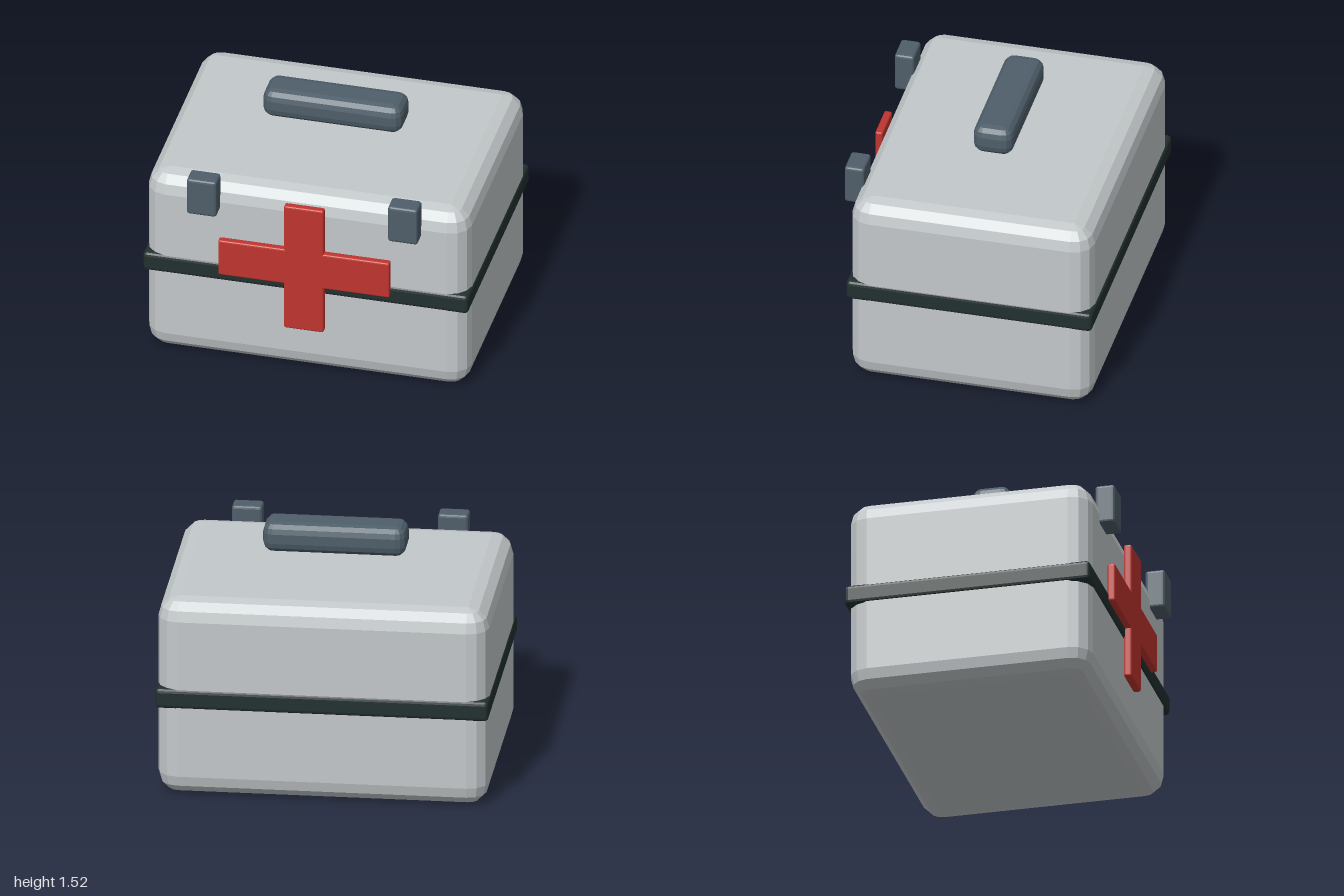
import * as THREE from 'three';
import { ConvexGeometry } from 'three/addons/geometries/ConvexGeometry.js';

const STEPS = 3; // facets around each rounded edge

// Box between two corners with faceted round edges: the hull of eight sphere octants
function bevelBox([x0, y0, z0], [x1, y1, z1], r) {
  const centre = new THREE.Vector3((x0 + x1) / 2, (y0 + y1) / 2, (z0 + z1) / 2);
  const inner = new THREE.Vector3((x1 - x0) / 2 - r, (y1 - y0) / 2 - r, (z1 - z0) / 2 - r);
  const points = [];
  for (const sx of [-1, 1]) for (const sy of [-1, 1]) for (const sz of [-1, 1]) {
    for (let i = 0; i <= STEPS; i++) {
      const lat = (i / STEPS) * Math.PI / 2;
      const around = i === STEPS ? 0 : STEPS; // a single point at the pole
      for (let j = 0; j <= around; j++) {
        const lon = (j / STEPS) * Math.PI / 2;
        points.push(new THREE.Vector3(
          sx * (inner.x + r * Math.cos(lat) * Math.cos(lon)),
          sy * (inner.y + r * Math.sin(lat)),
          sz * (inner.z + r * Math.cos(lat) * Math.sin(lon))
        ));
      }
    }
  }
  const geometry = new ConvexGeometry(points);
  geometry.translate(centre.x, centre.y, centre.z);
  return geometry;
}

function flat(name, color) {
  const material = new THREE.MeshStandardMaterial({ color, flatShading: true });
  material.name = name;
  return material;
}

export function createModel() {
  const model = new THREE.Group();
  model.name = 'firstAidCase';

  const shell = flat('lightGrey', 0xc3c8ca);
  const slate = flat('slate', 0x4f5f6a);
  const rubber = flat('darkRubber', 0x22302f);
  const red = flat('red', 0xc0352f);

  const add = (name, material, min, max, r, parent = model) => {
    const mesh = new THREE.Mesh(bevelBox(min, max, r), material);
    mesh.name = name;
    parent.add(mesh);
  };

  // Case and the seal around its middle
  add('caseBody', shell, [-0.993, 0, -0.785], [0.993, 1.24, 0.704], 0.127);
  add('sealBand', rubber, [-1, 0.56, -0.795], [1, 0.685, 0.714], 0.025);

  // Carry handle above the lid
  add('handle', slate, [-0.43, 1.335, -0.163], [0.43, 1.52, 0.083], 0.063);

  // Two front latches
  add('leftLatch', slate, [0.527, 1.058, 0.674], [0.71, 1.305, 0.795], 0.018);
  add('rightLatch', slate, [-0.71, 1.058, 0.674], [-0.527, 1.305, 0.795], 0.018);

  // Front cross made of two bars
  const cross = new THREE.Group();
  cross.name = 'cross';
  add('crossUpright', red, [-0.122, 0.315, 0.705], [0.122, 1.18, 0.753], 0.012, cross);
  add('crossBar', red, [-0.527, 0.628, 0.705], [0.527, 0.872, 0.753], 0.012, cross);
  model.add(cross);

  return model;
}
